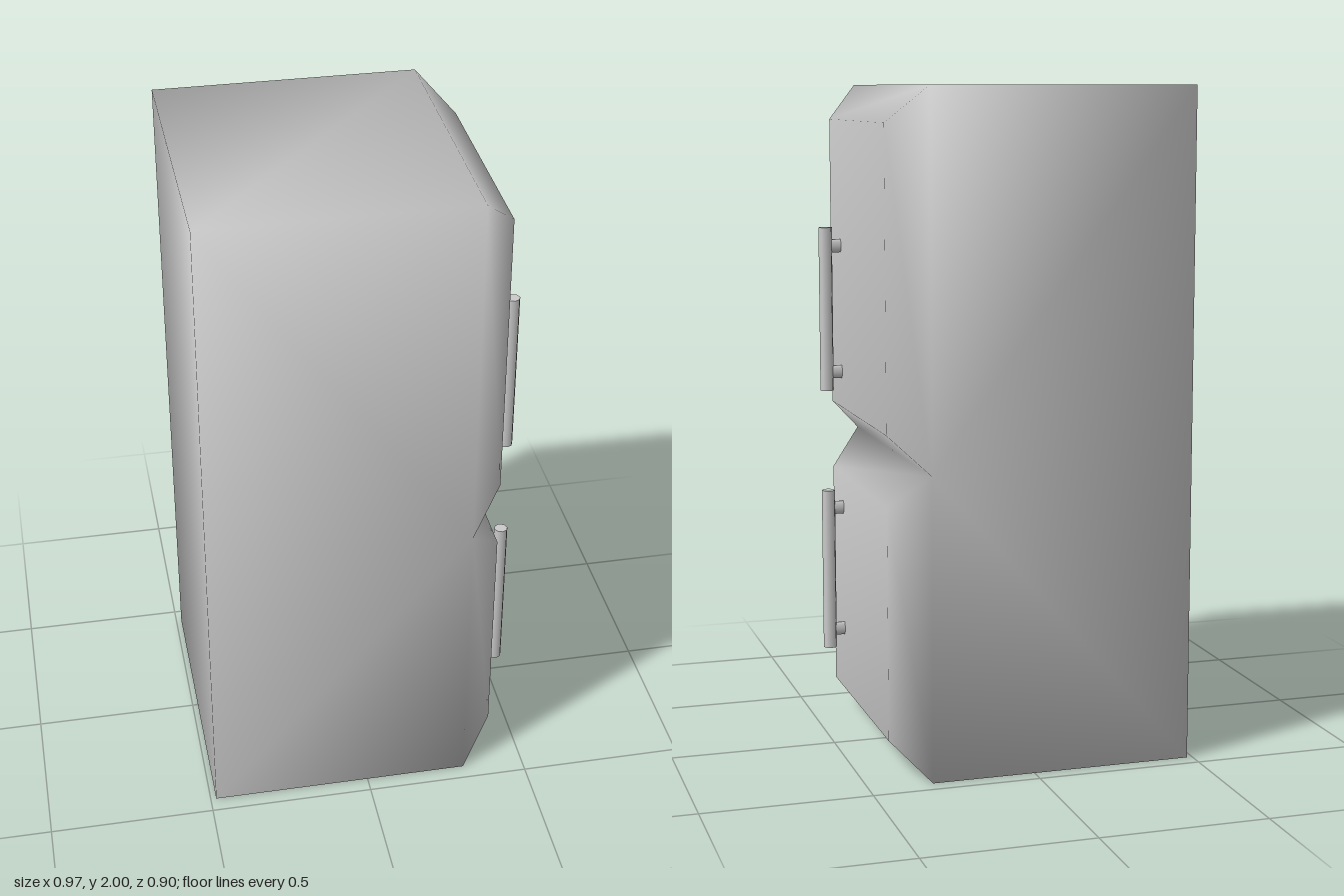
import * as THREE from 'three';

const material = new THREE.MeshStandardMaterial({ color: 0xcccccc });
const HALF_DEPTH = 0.45, BACK = -0.483, FRONT = 0.31, DOOR = 0.415, HEIGHT = 2, SPLIT = 0.905, BEVEL = 0.105;

function addMesh(parent, name, geometry) {
  const mesh = new THREE.Mesh(geometry, material);
  mesh.name = name;
  parent.add(mesh);
  return mesh;
}

// One smooth-shaded shell: box body with two bevelled door panels raised on the +x side
function cabinetGeometry() {
  const positions = [];
  const index = [];
  const vertex = (x, y, z) => positions.push(x, y, z) / 3 - 1;
  const face = (...loop) => {
    for (let i = 1; i < loop.length - 1; i++) index.push(loop[0], loop[i], loop[i + 1]);
  };
  // Rectangle facing +x: bottom +z, bottom -z, top -z, top +z
  const rectangle = (x, low, high, half) => [
    vertex(x, low, half), vertex(x, low, -half), vertex(x, high, -half), vertex(x, high, half),
  ];

  const back = rectangle(BACK, 0, HEIGHT, HALF_DEPTH);
  const rim = rectangle(FRONT, 0, HEIGHT, HALF_DEPTH);
  const splitNear = vertex(FRONT, SPLIT, HALF_DEPTH);
  const splitFar = vertex(FRONT, SPLIT, -HALF_DEPTH);

  // Body walls
  face(back[1], back[0], back[3], back[2]);
  face(splitNear, rim[3], back[3], back[0], rim[0]);
  face(splitFar, rim[1], back[1], back[2], rim[2]);
  face(back[3], rim[3], rim[2], back[2]);
  face(back[1], rim[1], rim[0], back[0]);

  // Doors with 45 degree bevels meeting in a groove
  const door = (outer, low, high) => {
    const inner = rectangle(DOOR, low + BEVEL, high - BEVEL, HALF_DEPTH - BEVEL);
    for (let i = 0; i < 4; i++) {
      const j = (i + 1) % 4;
      face(outer[i], outer[j], inner[j], inner[i]);
    }
    face(...inner);
  };
  door([rim[0], rim[1], splitFar, splitNear], 0, SPLIT);
  door([splitNear, splitFar, rim[2], rim[3]], SPLIT, HEIGHT);

  const geometry = new THREE.BufferGeometry();
  geometry.setAttribute('position', new THREE.Float32BufferAttribute(positions, 3));
  geometry.setIndex(index);
  geometry.computeVertexNormals();
  return geometry;
}

// Upright bar on two short oval posts
function createHandle(name, centerY) {
  const handle = new THREE.Group();
  handle.name = name;
  handle.position.set(0.462, centerY, 0.212);
  addMesh(handle, 'handleBar', new THREE.CylinderGeometry(0.021, 0.021, 0.504, 8));
  for (const side of [-1, 1]) {
    const geometry = new THREE.CylinderGeometry(0.021, 0.021, 0.06, 10);
    geometry.rotateZ(Math.PI / 2);
    geometry.scale(1, 1, 0.42);
    addMesh(handle, side > 0 ? 'upperPost' : 'lowerPost', geometry).position.set(-0.028, side * 0.195, 0);
  }
  return handle;
}

export function createModel() {
  const model = new THREE.Group();
  model.name = 'refrigerator';
  addMesh(model, 'cabinetAndDoors', cabinetGeometry());
  model.add(createHandle('upperDoorHandle', 1.317), createHandle('lowerDoorHandle', 0.498));
  return model;
}
